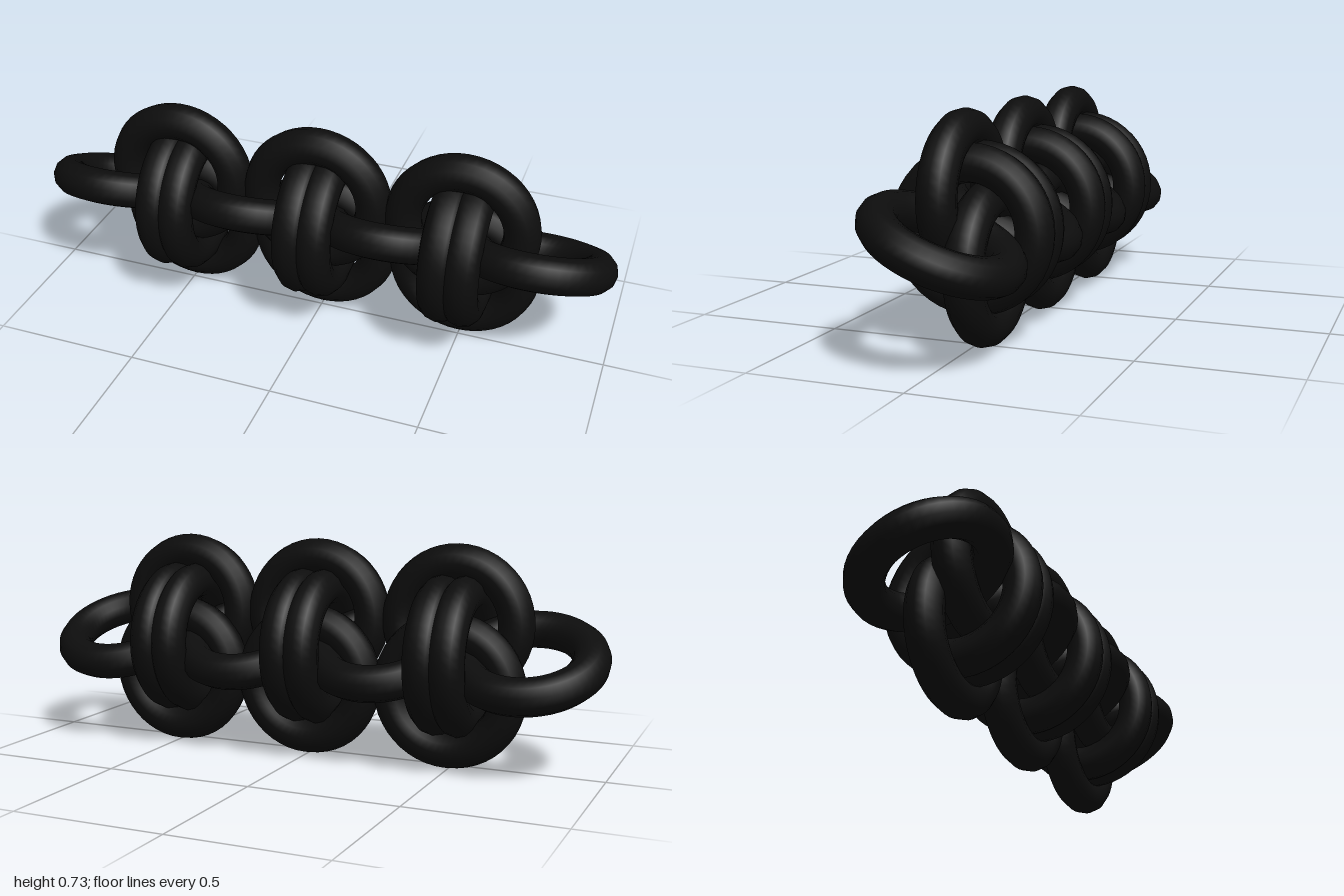
import * as THREE from 'three';

const TUBE = 0.061;
const MID_Y = 0.3635;
const PITCH = 0.495; // spacing of the knots along the chain

export function createModel() {
  const chain = new THREE.Group();
  chain.name = 'linkChain';
  const material = new THREE.MeshStandardMaterial({ color: 0x0d0d0d });
  const linkGeometry = new THREE.TorusGeometry(0.197, TUBE, 12, 48);
  const wrapGeometry = new THREE.TorusGeometry(0.203, TUBE, 12, 48);

  function addRing(parent, name, geometry, x, y, z) {
    const ring = new THREE.Mesh(geometry, material);
    ring.name = name;
    ring.position.set(x, y, z);
    parent.add(ring);
    return ring;
  }

  // Three knots: two upright rings, wrapped by a pair of crosswise rings
  for (const i of [-1, 0, 1]) {
    const knot = new THREE.Group();
    knot.name = 'knot';
    knot.position.x = i * PITCH;
    addRing(knot, 'upperRing', linkGeometry, 0, MID_Y + 0.1055, 0.041);
    addRing(knot, 'lowerRing', linkGeometry, 0, MID_Y - 0.1055, -0.041);
    for (const side of [-1, 1]) {
      addRing(knot, 'wrapRing', wrapGeometry, side * 0.04, MID_Y + 0.001, 0).rotation.y = Math.PI / 2;
    }
    chain.add(knot);
  }

  // Four connecting rings lying nearly flat, front edge raised
  for (const i of [-1.5, -0.5, 0.5, 1.5]) {
    const ring = addRing(chain, 'connectingRing', linkGeometry, i * PITCH, MID_Y, 0);
    ring.rotation.x = Math.PI / 2 - THREE.MathUtils.degToRad(23.4);
    // rotation.x maps the ring's +y direction to (y, z) = (sin 23.4, cos 23.4)
  }
  return chain;
}
